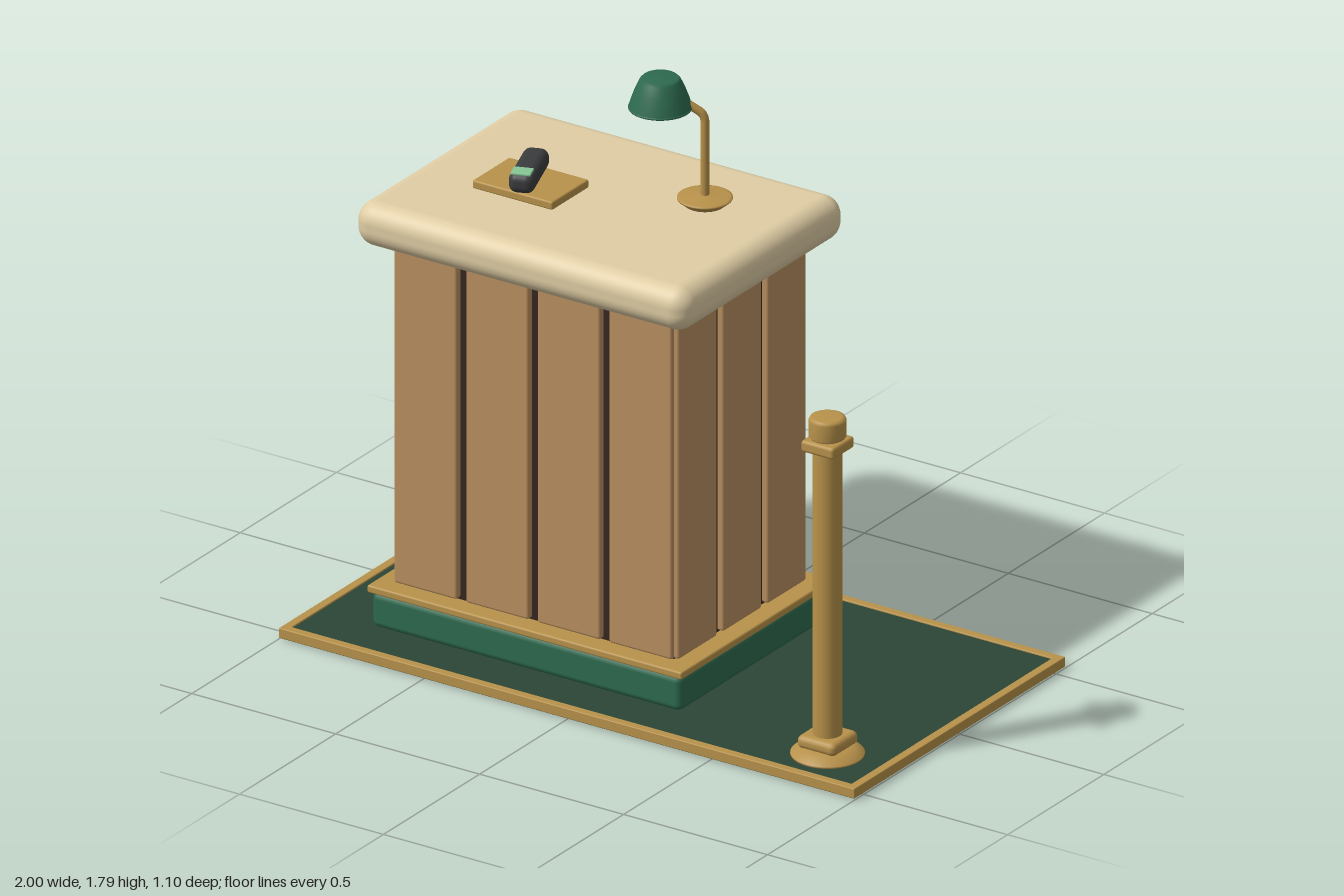
import * as THREE from 'three';
import { RoundedBoxGeometry } from 'three/addons/geometries/RoundedBoxGeometry.js';

const mat = (color, side = THREE.FrontSide) => new THREE.MeshStandardMaterial({ color, side });
const wood = mat(0xb98f61), brass = mat(0xb8924a), green = mat(0x2d6a4f), carpet = mat(0x2b4636);
const cream = mat(0xdfcda4), dark = mat(0x37261f), charcoal = mat(0x3a3b3d), mint = mat(0x86c795);
const greenShell = mat(0x2d6a4f, THREE.DoubleSide);

function add(parent, name, geometry, material, x = 0, y = 0, z = 0) {
  const mesh = new THREE.Mesh(geometry, material);
  mesh.name = name;
  mesh.position.set(x, y, z);
  parent.add(mesh);
  return mesh;
}

// Box given by its extents; r > 0 rounds the edges
function block(parent, name, material, [x0, x1], [y0, y1], [z0, z1], r = 0) {
  const w = x1 - x0, h = y1 - y0, d = z1 - z0;
  const geo = r ? new RoundedBoxGeometry(w, h, d, r > 0.02 ? 6 : 2, r) : new THREE.BoxGeometry(w, h, d);
  return add(parent, name, geo, material, (x0 + x1) / 2, (y0 + y1) / 2, (z0 + z1) / 2);
}

// Turned part from [radius, height] pairs
function turned(parent, name, material, profile, x, y, z) {
  const pts = profile.map(([r, h]) => new THREE.Vector2(r, h));
  return add(parent, name, new THREE.LatheGeometry(pts, 40), material, x, y, z);
}

function group(parent, name, x = 0, y = 0, z = 0) {
  const g = new THREE.Group();
  g.name = name;
  g.position.set(x, y, z);
  parent.add(g);
  return g;
}

function buildFloor(root) {
  const g = group(root, 'floorMat');
  block(g, 'carpet', carpet, [-0.99, 0.99], [0, 0.031], [-0.54, 0.54]);
  for (const s of [-1, 1]) {
    const z = [s * 0.535 - 0.014, s * 0.535 + 0.014], x = [s * 0.986 - 0.014, s * 0.986 + 0.014];
    block(g, 'longTrim', brass, [-1, 1], [0.004, 0.036], z, 0.003);
    block(g, 'shortTrim', brass, x, [0.004, 0.036], [-0.549, 0.549], 0.003);
  }
}

function buildDesk(root) {
  const g = group(root, 'desk');
  block(g, 'plinth', green, [-0.789, 0.286], [0.031, 0.142], [-0.385, 0.385], 0.02);
  block(g, 'plinthTrim', brass, [-0.797, 0.296], [0.141, 0.165], [-0.394, 0.394], 0.006);
  // Dark body seen in the grooves and on the open end
  block(g, 'innerBody', dark, [-0.734, 0.225], [0.165, 1.26], [-0.334, 0.292]);
  block(g, 'frontBacking', dark, [-0.72, 0.225], [0.165, 1.26], [0.28, 0.325]);
  // Four boards along front and back, three along the closed end
  const y = [0.17, 1.25];
  for (let i = 0; i < 4; i++) {
    const c = -0.627 + i * 0.249, x = [c - 0.109, c + 0.109];
    block(g, 'frontBoard', wood, x, y, [0.29, 0.346], 0.008);
    block(g, 'backBoard', wood, x, y, [-0.344, -0.322], 0.008);
  }
  for (let i = -1; i <= 1; i++) {
    block(g, 'sideBoard', wood, [0.2, 0.246], y, [i * 0.232 - 0.1, i * 0.232 + 0.1], 0.008);
  }
  block(g, 'countertop', cream, [-0.832, 0.328], [1.246, 1.385], [-0.427, 0.427], 0.06);
}

function buildPost(root) {
  const g = group(root, 'post', 0.797, 0, 0.384);
  turned(g, 'postFoot', brass, [[0, 0.034], [0.108, 0.034], [0.108, 0.04], [0.075, 0.064], [0, 0.064]], 0, 0, 0);
  block(g, 'postBlock', brass, [-0.067, 0.067], [0.058, 0.1], [-0.067, 0.067], 0.018);
  add(g, 'postShaft', new THREE.CylinderGeometry(0.043, 0.043, 0.98, 32), brass, 0, 0.56, 0);
  block(g, 'postCollar', brass, [-0.057, 0.057], [1, 1.037], [-0.057, 0.057], 0.01);
  turned(g, 'postCap', brass, [[0, 1.042], [0.052, 1.042], [0.055, 1.046], [0.055, 1.096], [0.051, 1.104],
    [0.042, 1.107], [0, 1.107]], 0, 0, 0);
}

function buildLamp(root) {
  const g = group(root, 'lamp');
  turned(g, 'lampBase', brass, [[0, 1.383], [0.056, 1.383], [0.081, 1.404], [0.081, 1.408], [0.074, 1.41],
    [0.03, 1.413], [0, 1.418]], 0.024, 0, -0.135);
  // Upright stem with an angled arm into the shade
  const stem = new THREE.CurvePath();
  const a = new THREE.Vector3(0.024, 1.4, -0.135), b = new THREE.Vector3(0.024, 1.645, -0.135);
  const c = new THREE.Vector3(0.01, 1.68, -0.127), d = new THREE.Vector3(-0.06, 1.735, -0.083);
  stem.add(new THREE.LineCurve3(a, b));
  stem.add(new THREE.QuadraticBezierCurve3(b, new THREE.Vector3(0.024, 1.669, -0.135), c));
  stem.add(new THREE.LineCurve3(c, d));
  add(g, 'lampStem', new THREE.TubeGeometry(stem, 60, 0.013, 12), brass);
  turned(g, 'lampShade', greenShell, [[0.093, 1.692], [0.086, 1.715], [0.074, 1.748], [0.06, 1.778],
    [0.052, 1.786], [0, 1.786]], -0.086, 0, -0.068);
  const rim = add(g, 'shadeRim', new THREE.TorusGeometry(0.09, 0.004, 8, 40), green, -0.086, 1.692, -0.068);
  rim.rotation.x = Math.PI / 2;
  add(g, 'bulb', new THREE.SphereGeometry(0.045, 24, 16), cream, -0.086, 1.733, -0.068);
}

function buildHandset(root) {
  block(root, 'handsetTray', brass, [-0.596, -0.318], [1.383, 1.41], [-0.045, 0.147], 0.006);
  const g = group(root, 'handset', -0.457, 1.443, 0.06);
  g.rotation.y = 0.35;
  block(g, 'handsetBody', charcoal, [-0.039, 0.039], [-0.032, 0.032], [-0.108, 0.108], 0.026);
  block(g, 'handsetScreen', mint, [-0.03, 0.03], [0.028, 0.037], [0.058, 0.104], 0.003);
}

export function createModel() {
  const root = new THREE.Group();
  root.name = 'receptionDesk';
  buildFloor(root);
  buildDesk(root);
  buildPost(root);
  buildLamp(root);
  buildHandset(root);
  return root;
}
